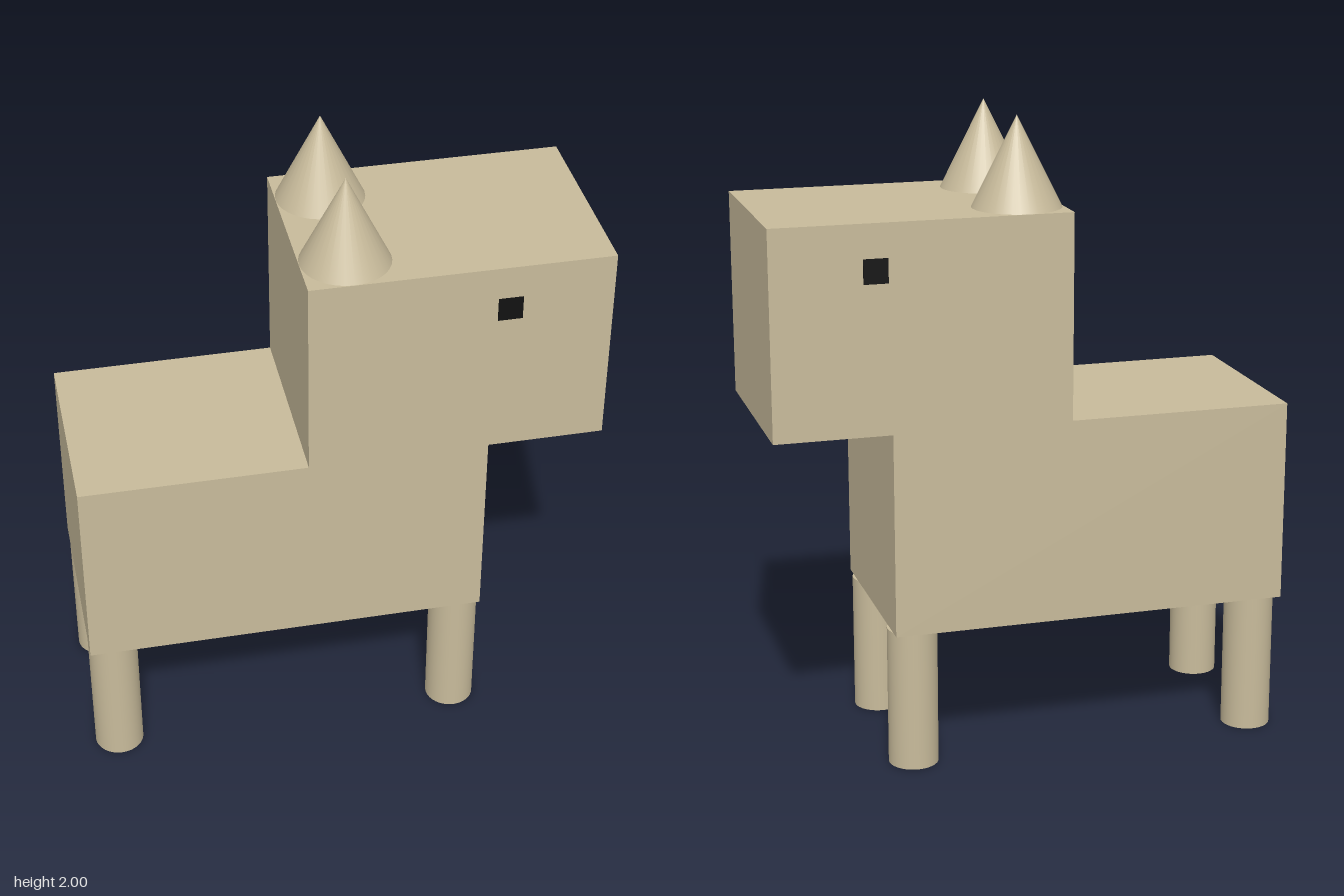
import * as THREE from 'three';

const hide = new THREE.MeshStandardMaterial({ color: 0xc8bb9b });
const dark = new THREE.MeshStandardMaterial({ color: 0x111111 });

export function createModel() {
  const model = new THREE.Group();
  model.name = 'blockAnimal';

  const add = (name, geometry, x, y, z, material = hide) => {
    const mesh = new THREE.Mesh(geometry, material);
    mesh.name = name;
    mesh.position.set(x, y, z);
    model.add(mesh);
    return mesh;
  };

  // Body and head: two stacked blocks, the head overhanging towards +x
  add('body', new THREE.BoxGeometry(1.26, 0.64, 0.64), -0.181, 0.765, 0);
  add('head', new THREE.BoxGeometry(0.92, 0.64, 0.64), 0.35, 1.405, 0);

  const legShape = new THREE.CylinderGeometry(0.078, 0.078, 0.445, 32);
  const earShape = new THREE.ConeGeometry(0.137, 0.275, 32);
  const eyeShape = new THREE.BoxGeometry(0.075, 0.075, 0.01);

  // Paired parts on both flanks
  for (const [side, s] of [['near', 1], ['far', -1]]) {
    add(side + 'FrontLeg', legShape, 0.38, 0.2225, s * 0.241);
    add(side + 'HindLeg', legShape, -0.733, 0.2225, s * 0.241);
    add(side + 'Ear', earShape, 0.0275, 1.8625, s * 0.182);
    add(side + 'Eye', eyeShape, 0.494, 1.583, s * 0.318, dark);
  }

  // The whole animal stands turned very slightly
  model.rotation.y = 0.021;
  const root = new THREE.Group();
  root.add(model);
  return root;
}
